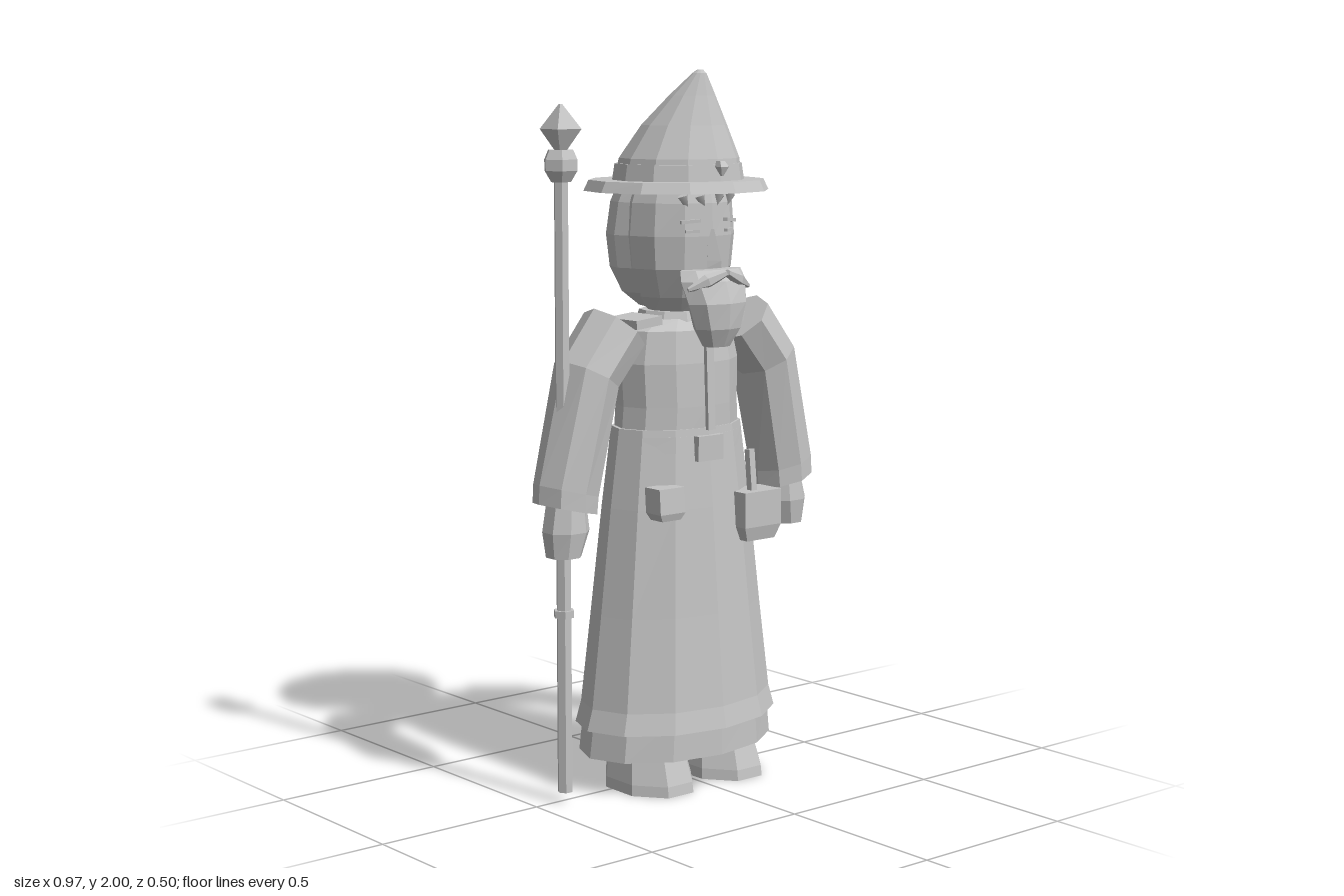
import * as THREE from 'three';

const grey = new THREE.MeshStandardMaterial({ color: 0xc4c4c4 });
grey.name = 'plain grey';

// Closed loft through elliptical rings [x, y, z, rx, rz, tilt], listed bottom to top
function loft(rings, n = 12, turn = 0) {
  const pos = [], idx = [];
  for (const [x, y, z, rx, rz, tilt = 0] of rings) {
    for (let i = 0; i < n; i++) {
      const a = (i / n) * Math.PI * 2 + turn, u = rx * Math.cos(a);
      pos.push(x + u * Math.cos(tilt), y + u * Math.sin(tilt), z + rz * Math.sin(a));
    }
  }
  const m = rings.length;
  for (let r = 0; r < m - 1; r++) {
    for (let i = 0; i < n; i++) {
      const j = (i + 1) % n, a = r * n + i, c = r * n + j;
      idx.push(a, a + n, c, c, a + n, c + n);
    }
  }
  const top = (m - 1) * n;
  for (let i = 1; i < n - 1; i++) idx.push(0, i, i + 1, top, top + i + 1, top + i);
  const g = new THREE.BufferGeometry();
  g.setAttribute('position', new THREE.Float32BufferAttribute(pos, 3));
  g.setIndex(idx);
  const flat = g.toNonIndexed();
  flat.computeVertexNormals();
  return flat;
}

export function createModel() {
  const model = new THREE.Group();
  model.name = 'robedFigure';
  const add = (name, geo, x = 0, y = 0, z = 0, rx = 0, ry = 0, rz = 0) => {
    const mesh = new THREE.Mesh(geo, grey);
    mesh.name = name;
    mesh.position.set(x, y, z);
    mesh.rotation.set(rx, ry, rz);
    model.add(mesh);
  };
  const box = (w, h, d) => new THREE.BoxGeometry(w, h, d);
  const Q = Math.PI / 4;

  // Robe: lower hem, outer skirt, chest, belt and collar
  add('lowerHem', loft([[0, 0.1, -0.005, 0.31, 0.205], [0, 0.22, -0.003, 0.295, 0.2]]));
  add('skirt', loft([
    [0, 0.18, -0.003, 0.32, 0.22], [0, 0.24, -0.003, 0.302, 0.208], [0, 0.5, -0.003, 0.27, 0.185],
    [0, 0.8, -0.002, 0.235, 0.16], [0, 1.02, -0.002, 0.205, 0.14],
  ]));
  add('chest', loft([
    [0, 0.95, -0.002, 0.2, 0.136], [0, 1.08, 0, 0.19, 0.136], [0, 1.2, -0.003, 0.195, 0.136],
    [0, 1.29, -0.005, 0.175, 0.125], [0, 1.32, -0.005, 0.11, 0.09],
  ]));
  add('belt', loft([[0, 0.955, -0.002, 0.212, 0.147], [0, 1.0, -0.002, 0.207, 0.143]]));
  add('collar', loft([[0, 1.29, -0.01, 0.12, 0.11], [0, 1.34, -0.01, 0.1, 0.095]], 10));
  add('frontStrip', box(0.026, 0.25, 0.012), 0, 1.14, 0.143, -0.04);
  add('buckle', box(0.09, 0.07, 0.02), -0.003, 0.965, 0.143);

  // Pouches hanging from the belt
  add('largePouch', loft([
    [0.162, 0.69, 0.14, 0.072, 0.052], [0.162, 0.73, 0.14, 0.095, 0.066],
    [0.162, 0.83, 0.14, 0.095, 0.066],
  ], 4, Q));
  add('pouchStrap', box(0.02, 0.15, 0.02), 0.15, 0.87, 0.148, -0.1);
  add('smallPouch', loft([
    [-0.155, 0.78, 0.14, 0.046, 0.036], [-0.155, 0.8, 0.14, 0.062, 0.045],
    [-0.155, 0.87, 0.135, 0.062, 0.045],
  ], 4, Q));

  for (const s of [1, -1]) {
    const side = s > 0 ? 'left' : 'right';
    // Sleeve with three tilted rings, hand below the cuff
    add(side + 'Sleeve', loft([
      [s * 0.397, 0.82, 0.002, 0.09, 0.09, s * 0.23], [s * 0.393, 0.87, 0.002, 0.092, 0.09, s * 0.25],
      [s * 0.322, 1.18, 0.004, 0.09, 0.1, s * 0.5], [s * 0.225, 1.3, 0.005, 0.092, 0.1, s * 0.7],
    ], 8));
    add(side + 'Hand', loft([
      [s * 0.408, 0.69, 0.01, 0.05, 0.05], [s * 0.4, 0.76, 0.01, 0.068, 0.062],
      [s * 0.395, 0.84, 0.005, 0.055, 0.058],
    ], 8, Math.PI / 8));
    add(side + 'ShoulderFlap', box(0.09, 0.025, 0.13), s * 0.15, 1.315, 0, 0, 0, -s * 0.1);
    // Boot
    add(side + 'Boot', loft([
      [s * 0.128, 0, 0.033, 0.118, 0.152], [s * 0.128, 0.03, 0.031, 0.116, 0.15],
      [s * 0.128, 0.12, 0.02, 0.098, 0.13],
    ], 8, Math.PI / 8));
    // Face details
    add(side + 'Eyebrow', box(0.055, 0.009, 0.014), s * 0.07, 1.592, 0.143, 0, s * 0.42, -s * 0.08);
    add(side + 'Eye', box(0.04, 0.008, 0.01), s * 0.065, 1.565, 0.146, 0, s * 0.42, 0);
    add(side + 'Moustache', loft([
      [0, -0.06, 0, 0.006, 0.006], [0, 0, 0, 0.02, 0.02], [0, 0.06, 0, 0.01, 0.012],
    ], 6), s * 0.055, 1.432, 0.195, 0, s * 0.3, s * 1.2);
    for (const x of [0.025, 0.075]) {
      add(side + 'Fringe', new THREE.ConeGeometry(0.018, 0.05, 4).toNonIndexed(),
        s * x, 1.64, 0.147 - x * 0.25, Math.PI, 0, s * 0.4);
    }
  }

  // Head, hair, nose and beard
  add('head', loft([
    [0, 1.34, 0, 0.08, 0.08], [0, 1.38, 0, 0.12, 0.11], [0, 1.46, 0, 0.157, 0.148],
    [0, 1.55, 0, 0.166, 0.156], [0, 1.64, 0, 0.158, 0.152], [0, 1.69, 0, 0.14, 0.14],
  ]));
  add('hair', loft([
    [0, 1.35, -0.04, 0.085, 0.07], [0, 1.39, -0.045, 0.135, 0.105], [0, 1.46, -0.05, 0.17, 0.127],
    [0, 1.55, -0.053, 0.179, 0.134], [0, 1.64, -0.05, 0.166, 0.128], [0, 1.69, -0.045, 0.145, 0.115],
  ]));
  add('nose', loft([
    [0, 1.465, 0.162, 0.028, 0.03], [0, 1.485, 0.16, 0.025, 0.03], [0, 1.57, 0.148, 0.01, 0.012],
  ], 4));
  add('beard', loft([
    [0, 1.25, 0.17, 0.042, 0.032], [0, 1.3, 0.173, 0.075, 0.052], [0, 1.37, 0.172, 0.1, 0.058],
    [0, 1.43, 0.158, 0.115, 0.052], [0, 1.46, 0.145, 0.108, 0.04],
  ], 8));

  // Pointed hat leaning forward
  add('hatBrim', loft([[0, 1.67, 0, 0.265, 0.25], [0, 1.7, 0, 0.25, 0.237]]));
  add('hatBand', loft([[0, 1.69, 0.008, 0.19, 0.18], [0, 1.745, 0.008, 0.181, 0.173]]));
  add('hatCrown', loft([
    [0, 1.7, 0.008, 0.183, 0.174], [0, 1.76, 0.012, 0.172, 0.162], [0, 1.85, 0.033, 0.122, 0.115],
    [0, 1.93, 0.067, 0.066, 0.062], [0, 1.99, 0.097, 0.02, 0.02], [0, 2, 0.1, 0.008, 0.008],
  ]));
  add('hatPendant', loft([
    [0, 1.715, 0.192, 0.004, 0.004], [0, 1.74, 0.192, 0.02, 0.018], [0, 1.755, 0.186, 0.012, 0.012],
  ], 4, Q));

  // Staff with a cup and a crystal
  const X = -0.41, Z = 0.012;
  add('staffPole', loft([[X, 0.03, Z, 0.022, 0.022], [X, 1.73, Z, 0.02, 0.02]], 6));
  add('staffRing', loft([[X, 0.522, Z, 0.03, 0.03], [X, 0.542, Z, 0.03, 0.03]], 6));
  add('staffCup', loft([
    [X, 1.705, Z, 0.03, 0.028], [X, 1.735, Z, 0.05, 0.046], [X, 1.765, Z, 0.05, 0.046],
    [X, 1.79, Z, 0.038, 0.035],
  ], 6));
  add('staffCrystal', loft([
    [X, 1.785, Z, 0.014, 0.014], [X, 1.845, Z, 0.056, 0.056], [X, 1.91, Z, 0.005, 0.005],
  ], 4, Q));
  return model;
}
